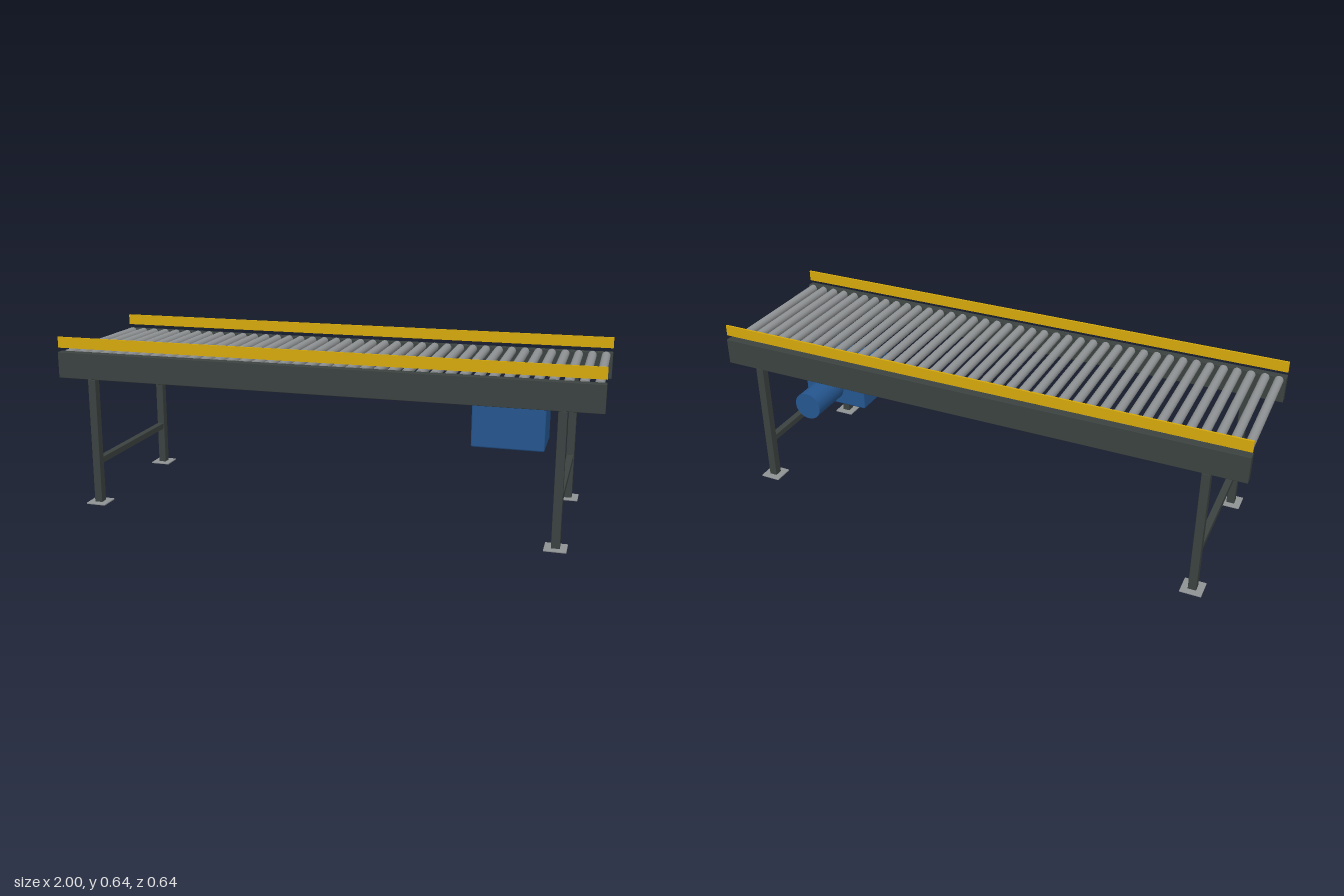
import * as THREE from 'three';
import { RoundedBoxGeometry } from 'three/addons/geometries/RoundedBoxGeometry.js';

const material = (name, color) => {
  const m = new THREE.MeshStandardMaterial({ color });
  m.name = name;
  return m;
};

export function createModel() {
  const frame = material('dark frame', 0x3b4240);
  const steel = material('roller steel', 0x8f9294);
  const yellow = material('guard yellow', 0xd6a90c);
  const blue = material('motor blue', 0x25568f);

  const model = new THREE.Group();
  model.name = 'rollerConveyor';

  const add = (name, geometry, mat, x, y, z) => {
    const mesh = new THREE.Mesh(geometry, mat);
    mesh.name = name;
    mesh.position.set(x, y, z);
    model.add(mesh);
    return mesh;
  };
  // Box with slightly softened edges
  const box = (w, h, d, r) => new RoundedBoxGeometry(w, h, d, 2, r);

  const sideZ = 0.281;
  const legX = 0.865;

  // Side rails and guard strips
  const railGeo = box(2, 0.099, 0.032, 0.002);
  const guardGeo = new THREE.BoxGeometry(2, 0.041, 0.007);
  for (const s of [1, -1]) {
    add('sideRail', railGeo, frame, 0, 0.5375, s * sideZ);
    add('guardRail', guardGeo, yellow, 0, 0.6225, s * 0.2865);
  }

  // Rollers
  const rollerGeo = new THREE.CylinderGeometry(0.016, 0.016, 0.532, 20).rotateX(Math.PI / 2);
  for (let i = 0; i < 40; i++) {
    add('roller', rollerGeo, steel, -0.975 + i * 0.05, 0.576, 0);
  }

  // Legs with foot plates, joined by cross braces
  const legGeo = box(0.03, 0.488, 0.032, 0.002);
  const footGeo = box(0.078, 0.006, 0.078, 0.002);
  const braceGeo = box(0.025, 0.025, 0.54, 0.002);
  for (const sx of [1, -1]) {
    for (const sz of [1, -1]) {
      add('leg', legGeo, frame, sx * legX, 0.244, sz * sideZ);
      add('footPlate', footGeo, steel, sx * legX, 0.005, sz * sideZ);
    }
    add('crossBrace', braceGeo, frame, sx * legX, 0.168, 0);
  }

  // Drive unit hung under the rollers
  add('gearbox', box(0.262, 0.165, 0.199, 0.007), blue, 0.665, 0.3685, 0);
  const motorGeo = new THREE.CylinderGeometry(0.053, 0.053, 0.17, 32).rotateX(Math.PI / 2);
  add('motor', motorGeo, blue, 0.668, 0.367, -0.201);

  return model;
}
